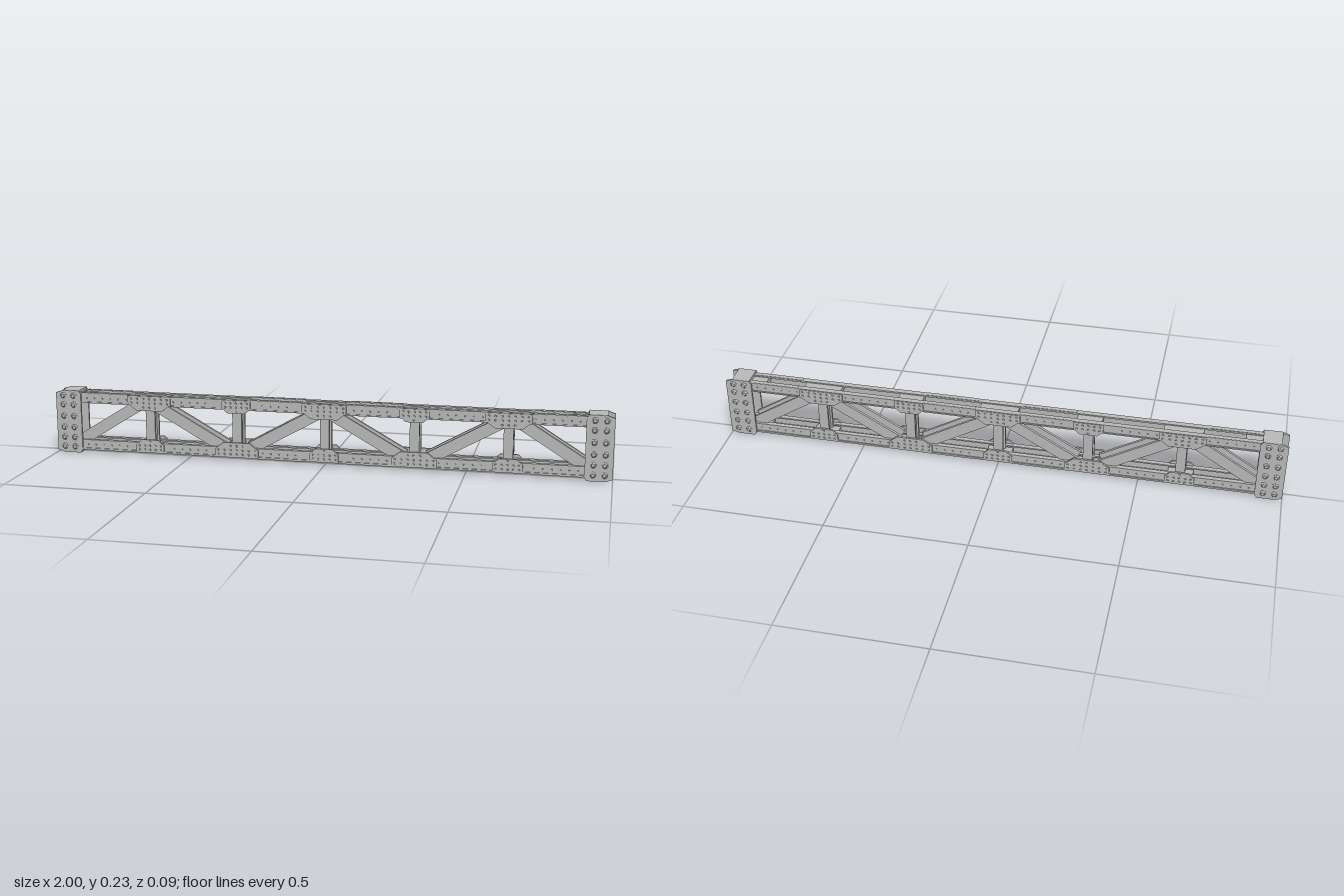
import * as THREE from 'three';
import { mergeGeometries } from 'three/addons/utils/BufferGeometryUtils.js';

export function createModel() {
  const model = new THREE.Group();
  const steel = new THREE.MeshStandardMaterial({ color: 0xbababa });
  steel.name = 'steel grey';
  steel.flatShading = true;

  const add = (name, parts) => {
    const mesh = new THREE.Mesh(
      mergeGeometries(parts.map(g => (g.index ? g.toNonIndexed() : g))), steel);
    mesh.name = name;
    model.add(mesh);
  };
  // Box given by its minimum and maximum on each axis
  const box = (x0, x1, y0, y1, z0, z1) =>
    new THREE.BoxGeometry(x1 - x0, y1 - y0, z1 - z0)
      .translate((x0 + x1) / 2, (y0 + y1) / 2, (z0 + z1) / 2);
  // Flat plate cut from an outline, spanning z0 to z1
  const plate = (pts, z0, z1) =>
    new THREE.ExtrudeGeometry(new THREE.Shape(pts.map(p => new THREE.Vector2(...p))),
      { depth: z1 - z0, bevelEnabled: false }).translate(0, 0, z0);
  // Bolt head or rivet standing on a side face
  const stud = (x, y, z, side, r, h, n) =>
    new THREE.CylinderGeometry(r * 0.75, r, h, n)
      .rotateX(side * Math.PI / 2).translate(x, y, side * (z + h / 2));
  const bothSides = f => [1, -1].flatMap(s => f(s));
  const span = (s, a, b) => (s > 0 ? [a, b] : [-b, -a]);

  // Heights are given for the top chord and mirrored for the bottom one
  const MID = 0.1175;
  const flip = (y, top) => (top ? y : 2 * MID - y);
  const ySpan = (top, a, b) => (top ? [a, b] : [flip(b, false), flip(a, false)]);

  // Chords: a pair of channels, open between them
  for (const top of [true, false]) {
    const parts = bothSides(s => [
      box(-0.93, 0.93, ...ySpan(top, 0.187, 0.222), ...span(s, 0.027, 0.032)),
      box(-0.93, 0.93, ...ySpan(top, 0.217, 0.223), ...span(s, 0.016, 0.036)),
      box(-0.93, 0.93, ...ySpan(top, 0.186, 0.191), ...span(s, 0.018, 0.035)),
    ]);
    add(top ? 'topChord' : 'bottomChord', parts);
  }

  // Cover strips along the chords
  const strips = [];
  for (const [a, b] of [[-0.9, -0.73], [-0.27, -0.08], [0.08, 0.27], [0.73, 0.9]])
    for (const top of [true, false])
      strips.push(...bothSides(s => [
        box(a, b, ...ySpan(top, 0.221, 0.2245), ...span(s, 0.018, 0.035))]));
  add('chordCoverStrips', strips);

  // Twin bars between two points, with an optional web joining them
  const member = (x0, y0, x1, y1, w, web) => {
    const L = Math.hypot(x1 - x0, y1 - y0);
    const parts = bothSides(s => [box(-L / 2, L / 2, -w / 2, w / 2, ...span(s, 0.016, 0.026))]);
    if (web) parts.push(box(-L / 2, L / 2, -w * 0.3, w * 0.3, -0.016, 0.016));
    return mergeGeometries(parts)
      .rotateZ(Math.atan2(y1 - y0, x1 - x0)).translate((x0 + x1) / 2, (y0 + y1) / 2, 0);
  };

  const nodes = [-0.645, -0.32, 0, 0.32, 0.645];
  add('verticals', nodes.map(x => member(x, 0.025, x, 0.21, 0.034, true)));

  const diagonals = [];
  for (const s of [1, -1])
    for (const [x0, y0, x1, y1] of [
      [0.905, 0.05, 0.675, 0.193], [0.635, 0.193, 0.365, 0.042], [0.28, 0.042, 0.01, 0.193]])
      diagonals.push(member(s * x0, y0, s * x1, y1, 0.042, false));
  add('diagonals', diagonals);

  // Gusset plates at every joint, with rivets and tie plates between the chord channels
  const gussets = [], rivets = [], ties = [];
  nodes.forEach((x, i) => {
    for (const top of [true, false]) {
      const big = (i % 2 === 0) === top;
      const h = big ? 0.08 : 0.052, low = big ? 0.168 : 0.174;
      const pts = [[-h, 0.221], [h, 0.221], [h, 0.193], [h * 0.6, low], [-h * 0.6, low], [-h, 0.193]]
        .map(([px, py]) => [x + px, flip(py, top)]);
      gussets.push(...bothSides(s => [plate(pts, ...span(s, 0.031, 0.038))]));
      const cols = big ? [-0.068, -0.045, -0.022, 0, 0.022, 0.045, 0.068] : [-0.04, -0.02, 0, 0.02, 0.04];
      rivets.push(...bothSides(s => [
        ...cols.map(c => stud(x + c, flip(0.211, top), 0.038, s, 0.004, 0.003, 6)),
        ...cols.map(c => stud(x + c, flip(0.196, top), 0.038, s, 0.004, 0.003, 6)),
        ...cols.slice(2, -2).map(c => stud(x + c, flip(0.18, top), 0.038, s, 0.004, 0.003, 6)),
      ]));
      ties.push(box(x - h * 0.85, x + h * 0.85, ...ySpan(top, 0.2, 0.219), -0.027, 0.027));
    }
  });
  for (const s of [1, -1])
    for (const top of [true, false])
      ties.push(box(...span(s, 0.855, 0.92), ...ySpan(top, 0.2, 0.219), -0.027, 0.027));
  add('gussetPlates', gussets);
  add('gussetRivets', rivets);
  add('tiePlates', ties);

  // Fine rivets along the chord faces
  const seam = [];
  for (let x = -0.885; x < 0.89; x += 0.03)
    if (nodes.every(n => Math.abs(n - x) > 0.085))
      for (const y of [0.204, 0.031])
        seam.push(...bothSides(s => [stud(x, y, 0.032, s, 0.003, 0.002, 6)]));
  add('chordRivets', seam);

  // End collars: open sleeves with bolted side plates
  for (const e of [1, -1]) {
    const outline = [[0.905, 0.01], [0.915, 0], [0.975, 0], [1, 0.008],
      [1, 0.222], [0.975, 0.23], [0.915, 0.23], [0.905, 0.22]].map(([x, y]) => [e * x, y]);
    const sleeve = bothSides(s => [plate(outline, ...span(s, 0.032, 0.04))]);
    sleeve.push(
      box(...span(e, 0.912, 0.977), 0.216, 0.231, -0.039, 0.039),
      box(...span(e, 0.912, 0.977), 0, 0.015, -0.039, 0.039));
    add(e > 0 ? 'leftEndCollar' : 'rightEndCollar', sleeve);

    const bolts = [];
    for (const y of [0.022, 0.057, 0.094, 0.136, 0.178, 0.212])
      for (const x of [0.933, 0.972])
        bolts.push(...bothSides(s => [
          stud(e * x, y, 0.04, s, 0.011, 0.002, 12),
          stud(e * x, y, 0.042, s, 0.009, 0.004, 6)]));
    add(e > 0 ? 'leftEndBolts' : 'rightEndBolts', bolts);
  }
  return model;
}
